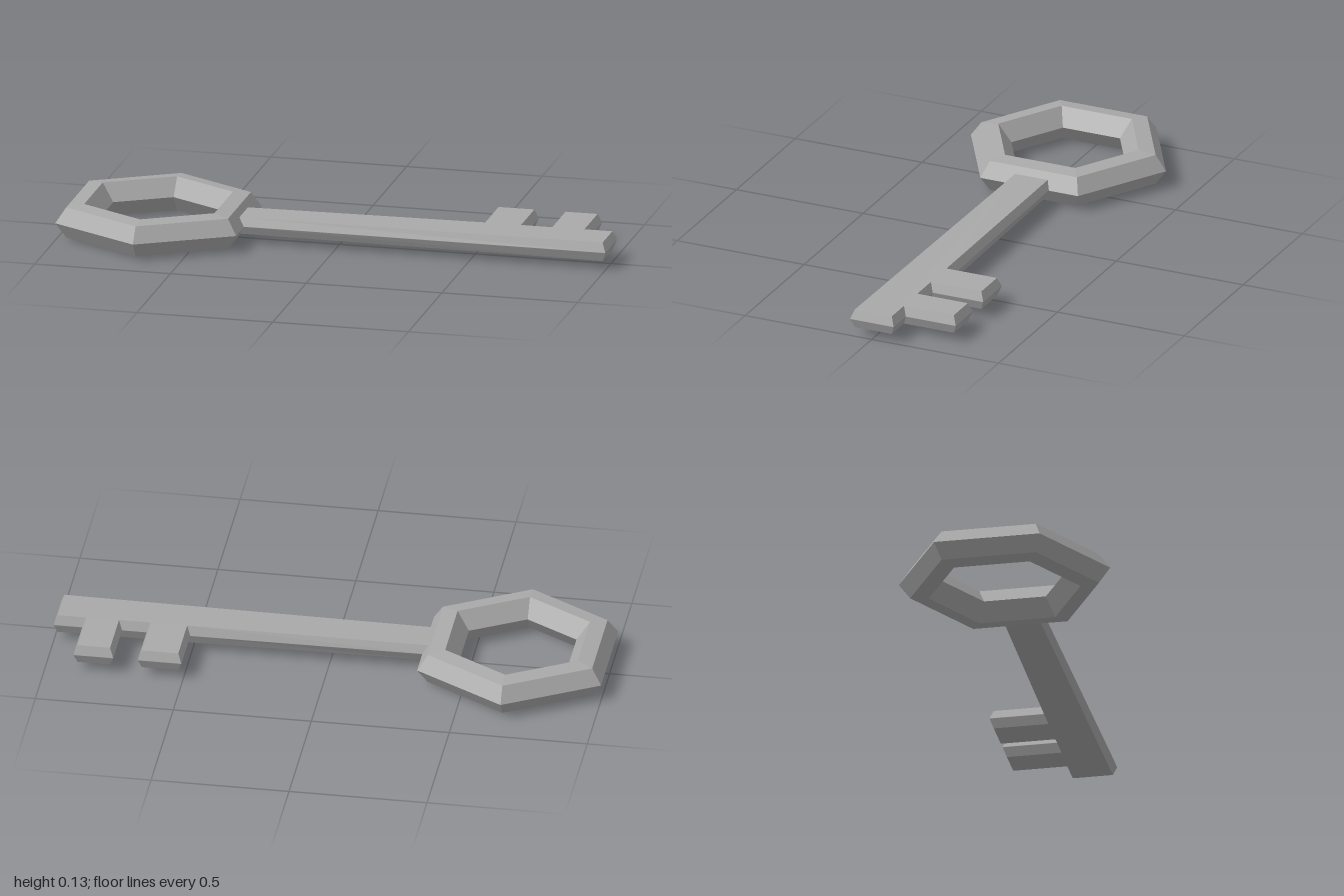
import * as THREE from 'three';

const MID_Y = 0.064; // height of the key's middle plane

export function createModel() {
  const key = new THREE.Group();
  key.name = 'key';

  const steel = new THREE.MeshStandardMaterial({ color: 0xa9a9a9, flatShading: true });
  steel.name = 'steel grey';

  // Bow: hexagonal ring with a faceted six-sided section
  const section = [
    [0.385, 0], [0.344, 0.056], [0.277, 0.063],
    [0.225, 0], [0.277, -0.063], [0.344, -0.056], [0.385, 0],
  ].map(([r, y]) => new THREE.Vector2(r, y));
  const bow = new THREE.Mesh(new THREE.LatheGeometry(section, 6), steel);
  bow.name = 'bow';
  bow.position.set(-0.667, MID_Y, 0);
  key.add(bow);

  // Blade: shaft and two teeth as one bevelled outline (x, -z)
  const outline = [
    [-0.37, -0.077], [1, -0.086], [1, 0.086], [0.897, 0.086],
    [0.897, 0.283], [0.753, 0.283], [0.753, 0.084], [0.664, 0.084],
    [0.664, 0.283], [0.506, 0.283], [0.506, 0.084], [-0.37, 0.077],
  ].map(([x, y]) => new THREE.Vector2(x, y));
  const depth = 0.001, bevel = 0.013;
  const geometry = new THREE.ExtrudeGeometry(new THREE.Shape(outline), {
    depth, bevelEnabled: true, bevelThickness: 0.034,
    bevelSize: bevel, bevelOffset: -bevel, bevelSegments: 1,
  });
  geometry.translate(0, 0, -depth / 2).rotateX(-Math.PI / 2);

  // The shaft thins slightly towards the bow
  const p = geometry.attributes.position;
  for (let i = 0; i < p.count; i++) {
    const t = THREE.MathUtils.clamp((p.getX(i) + 0.37) / 0.87, 0, 1);
    p.setY(i, p.getY(i) * (0.88 + 0.12 * t));
  }
  geometry.computeVertexNormals();

  const blade = new THREE.Mesh(geometry, steel);
  blade.name = 'shaftAndTeeth';
  blade.position.y = MID_Y + 0.001;
  key.add(blade);

  return key;
}
